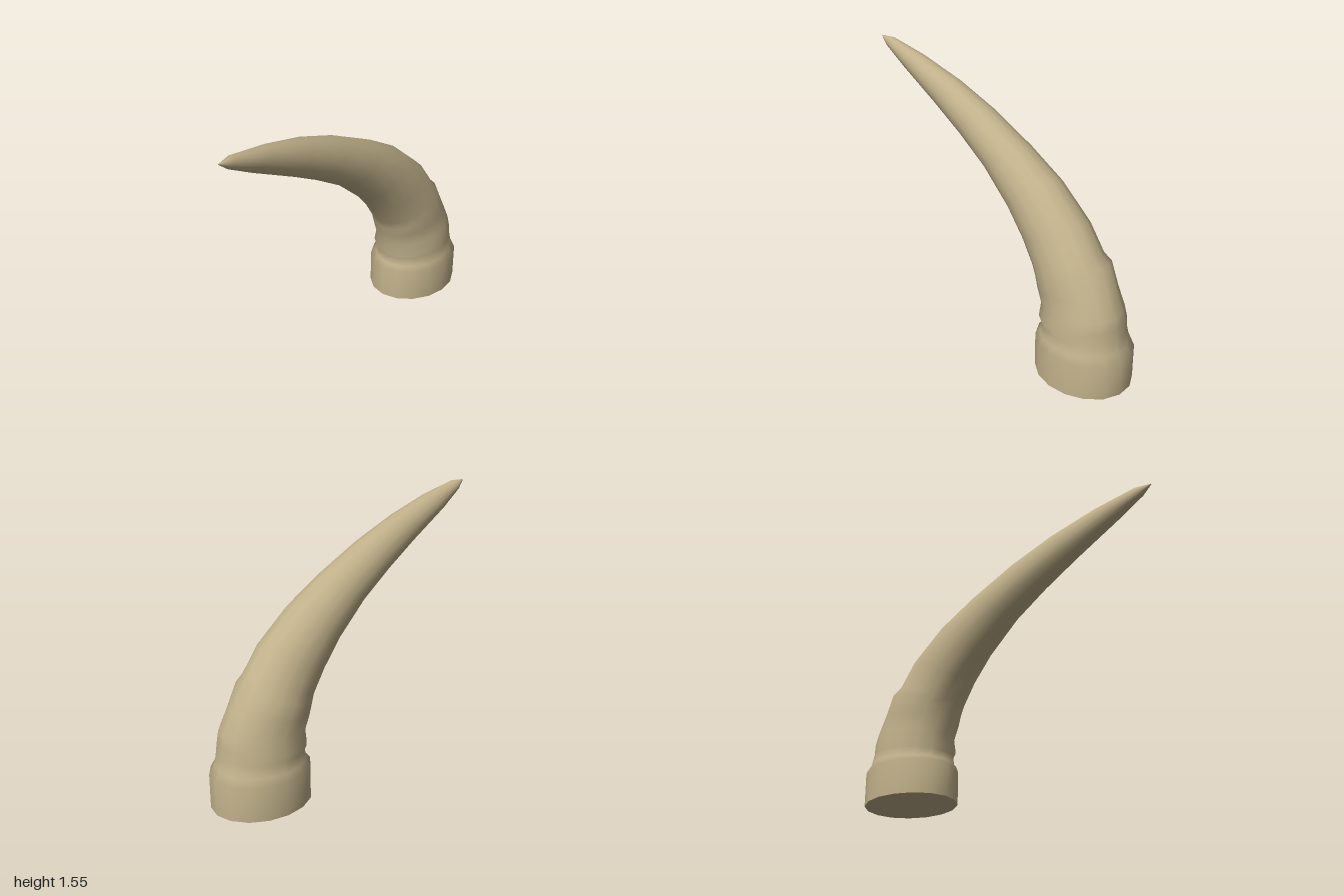
import * as THREE from 'three';

const SIDES = 16;

// Cross-sections from base to tip: front z, front y, back z, back y, min x, max x
const RINGS = [
  [-0.41, 0, -1, 0, -0.25, 0.25],
  [-0.41, 0.2, -1, 0.2, -0.25, 0.25],
  [-0.437, 0.23, -0.968, 0.25, -0.227, 0.23],
  [-0.442, 0.28, -0.955, 0.32, -0.212, 0.217],
  [-0.426, 0.305, -0.945, 0.38, -0.22, 0.224],
  [-0.43, 0.385, -0.936, 0.45, -0.2, 0.205],
  [-0.394, 0.46, -0.88, 0.56, -0.193, 0.2],
  [-0.389, 0.51, -0.807, 0.695, -0.198, 0.204],
  [-0.357, 0.567, -0.764, 0.733, -0.172, 0.192],
  [-0.276, 0.69, -0.657, 0.877, -0.16, 0.191],
  [-0.158, 0.823, -0.437, 1.059, -0.13, 0.185],
  [0.05, 1.0, -0.212, 1.187, -0.09, 0.183],
  [0.26, 1.128, 0.083, 1.326, -0.045, 0.183],
  [0.485, 1.25, 0.362, 1.428, 0.003, 0.186],
  [0.78, 1.4, 0.646, 1.503, 0.062, 0.19],
  [0.94, 1.49, 0.903, 1.55, 0.118, 0.182],
  [1.0, 1.54, 0.998, 1.543, 0.157, 0.163],
];

// Skin the tilted elliptical cross-sections into one smooth surface
function loft(rings) {
  const positions = [];
  const indices = [];
  rings.forEach(([fz, fy, bz, by, x0, x1], i) => {
    for (let j = 0; j < SIDES; j++) {
      const a = (j / SIDES) * Math.PI * 2;
      const c = Math.cos(a);
      const s = Math.sin(a);
      positions.push(
        (x0 + x1) / 2 + (c * (x1 - x0)) / 2,
        (fy + by) / 2 + (s * (fy - by)) / 2,
        (fz + bz) / 2 + (s * (fz - bz)) / 2
      );
      if (i === rings.length - 1) continue;
      const p = i * SIDES + j;
      const q = i * SIDES + ((j + 1) % SIDES);
      indices.push(p, p + SIDES, q, q, p + SIDES, q + SIDES);
    }
  });
  // Close the tip
  const last = (rings.length - 1) * SIDES;
  for (let j = 1; j < SIDES - 1; j++) indices.push(last, last + j + 1, last + j);
  const geometry = new THREE.BufferGeometry();
  geometry.setAttribute('position', new THREE.Float32BufferAttribute(positions, 3));
  geometry.setIndex(indices);
  geometry.computeVertexNormals();
  return geometry;
}

export function createModel() {
  const group = new THREE.Group();
  group.name = 'horn';
  const hornMaterial = new THREE.MeshStandardMaterial({ color: 0xc0b08a });
  hornMaterial.name = 'horn tan';

  // Collar, ridges and curved point
  const body = new THREE.Mesh(loft(RINGS), hornMaterial);
  body.name = 'hornBody';
  group.add(body);

  // Flat underside
  const cap = new THREE.Mesh(new THREE.CircleGeometry(1, SIDES).rotateX(Math.PI / 2), hornMaterial);
  cap.name = 'baseCap';
  cap.scale.set(0.25, 1, 0.295);
  cap.position.z = -0.705;
  group.add(cap);

  return group;
}
